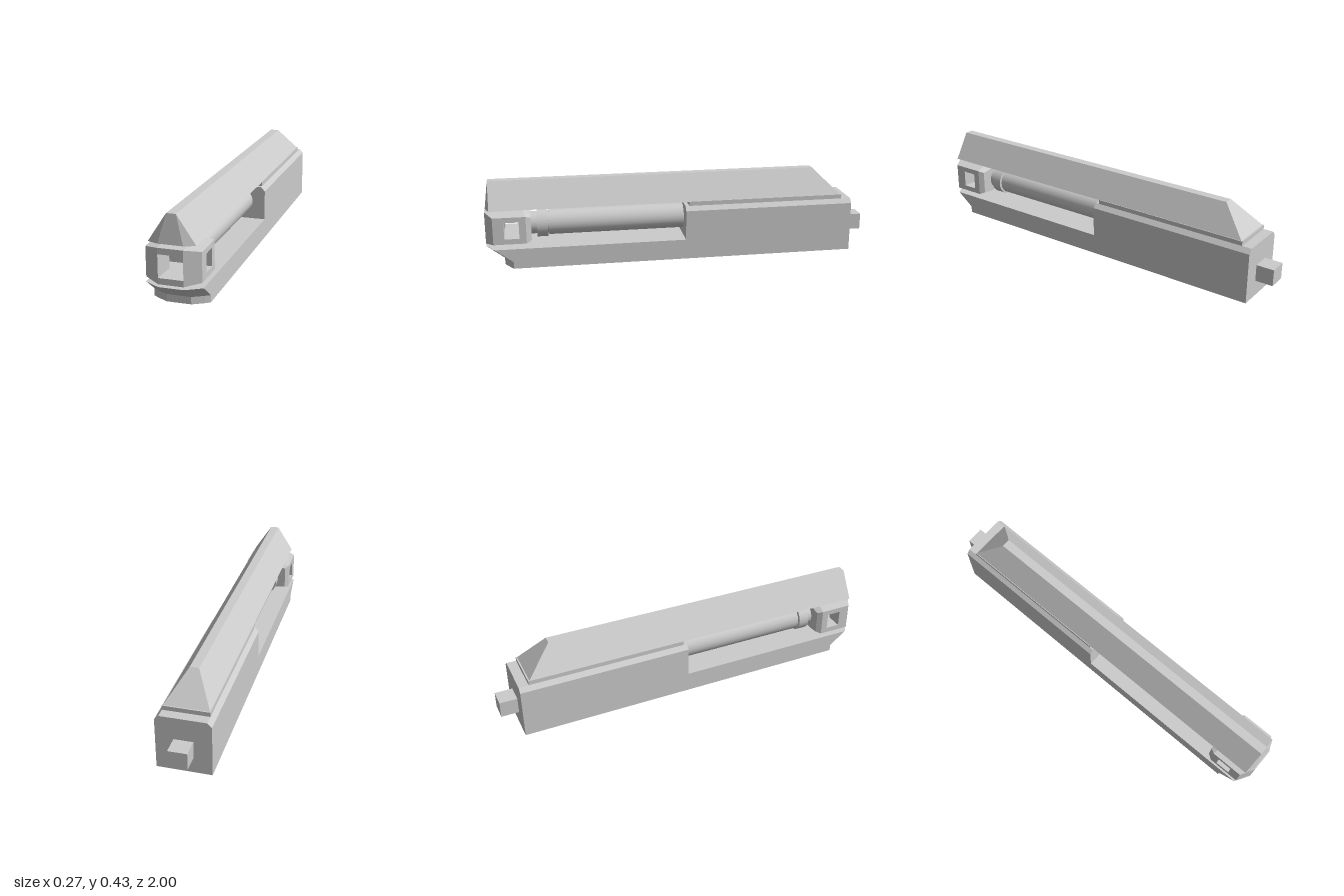
import * as THREE from 'three';
import { ConvexGeometry } from 'three/addons/geometries/ConvexGeometry.js';

const AXIS_Y = 0.2; // height of the barrel axis

// Adds the reflection of points across an axis (0 = x, 1 = y)
const reflect = (points, axis) => points.map((p) => p.map((v, i) => (i === axis ? -v : v)));
const mirror = (points, axis) => [...points, ...reflect(points, axis)];
const hull = (points) => new ConvexGeometry(points.map((p) => new THREE.Vector3(...p)));

export function createModel() {
  const model = new THREE.Group();
  const flat = new THREE.MeshStandardMaterial({ color: 0xcccccc, flatShading: true });
  const smooth = new THREE.MeshStandardMaterial({ color: 0xcccccc });

  const add = (name, geometry, parent = model, material = flat) => {
    const mesh = new THREE.Mesh(geometry, material);
    mesh.name = name;
    parent.add(mesh);
    return mesh;
  };
  const box = (name, w, y0, y1, z0, z1) =>
    add(name, new THREE.BoxGeometry(w, y1 - y0, z1 - z0)).position.set(0, (y0 + y1) / 2, (z0 + z1) / 2);

  // Rear housing with chamfered top edges
  const section = [[0.133, 0], [0.133, 0.258], [0.112, 0.28]];
  const housing = [-0.91, -0.02].flatMap((z) => section.map(([x, y]) => [x, y, z]));
  add('rearHousing', hull(mirror(housing, 0)));

  // Lower tray: faceted nose, flaring forward above the foot
  const plan = (y, tip) =>
    mirror([[0.133, y, -0.02], [0.133, y, tip - 0.045], [0.111, y, tip - 0.03], [0.058, y, tip]], 0);
  add('trayFoot', hull([...plan(0, 0.91), ...plan(0.035, 0.91)]));
  add('trayNose', hull([...plan(0.035, 0.91), ...plan(0.104, 1)]));

  // Ridged top cover on its seat strip
  add('topCover', hull(mirror([
    [0.11, 0.3, 0.975], [0.058, 0.3, 0.995], [0.022, 0.434, 0.978],
    [0.11, 0.3, -0.855], [0.022, 0.434, -0.72],
  ], 0)));
  box('coverSeat', 0.224, 0.278, 0.302, -0.86, -0.04);

  // Rear peg
  box('rearPeg', 0.092, 0.083, 0.167, -1, -0.9);

  // Barrel and collar
  const rod = (name, r, z0, z1) => {
    const geometry = new THREE.CylinderGeometry(r, r, z1 - z0, 32);
    geometry.rotateX(Math.PI / 2);
    add(name, geometry, model, smooth).position.set(0, AXIS_Y, (z0 + z1) / 2);
  };
  rod('barrel', 0.066, -0.05, 0.68);
  rod('barrelNeck', 0.058, 0.68, 0.78);
  rod('collar', 0.075, 0.685, 0.74);

  // Muzzle block, centred on the barrel axis: caps, posts and rear wall leave the openings
  const muzzle = new THREE.Group();
  muzzle.name = 'muzzleBlock';
  muzzle.position.y = AXIS_Y;
  model.add(muzzle);

  // Top and bottom caps, with the funnel slope on the inner front
  const cap = mirror([
    [0.058, 0.083, 1], [0.129, 0.07, 0.96], [0.129, 0.07, 0.795], [0.058, 0.083, 0.81],
    [0.058, 0.066, 0.77], [0.112, 0.06, 0.77], [0.112, 0.043, 0.77], [0.129, 0.043, 0.795],
    [0.129, 0.043, 0.905], [0.129, 0.05, 0.96], [0.058, 0.054, 1],
  ], 0);
  add('muzzleTop', hull(cap), muzzle);
  add('muzzleBottom', hull(reflect(cap, 1)), muzzle);

  // Front posts between the front opening and the side windows
  const post = mirror([[0.058, 0.054, 1], [0.129, 0.05, 0.96], [0.129, 0.043, 0.905], [0.042, 0.043, 0.905]], 1);
  add('muzzlePostLeft', hull(post), muzzle);
  add('muzzlePostRight', hull(reflect(post, 0)), muzzle);

  // Rear wall behind the windows
  const rearWall = mirror([[0.129, 0.043, 0.83], [0.129, 0.043, 0.795], [0.112, 0.043, 0.77]], 0);
  add('muzzleRear', hull(mirror(rearWall, 1)), muzzle);

  return model;
}
